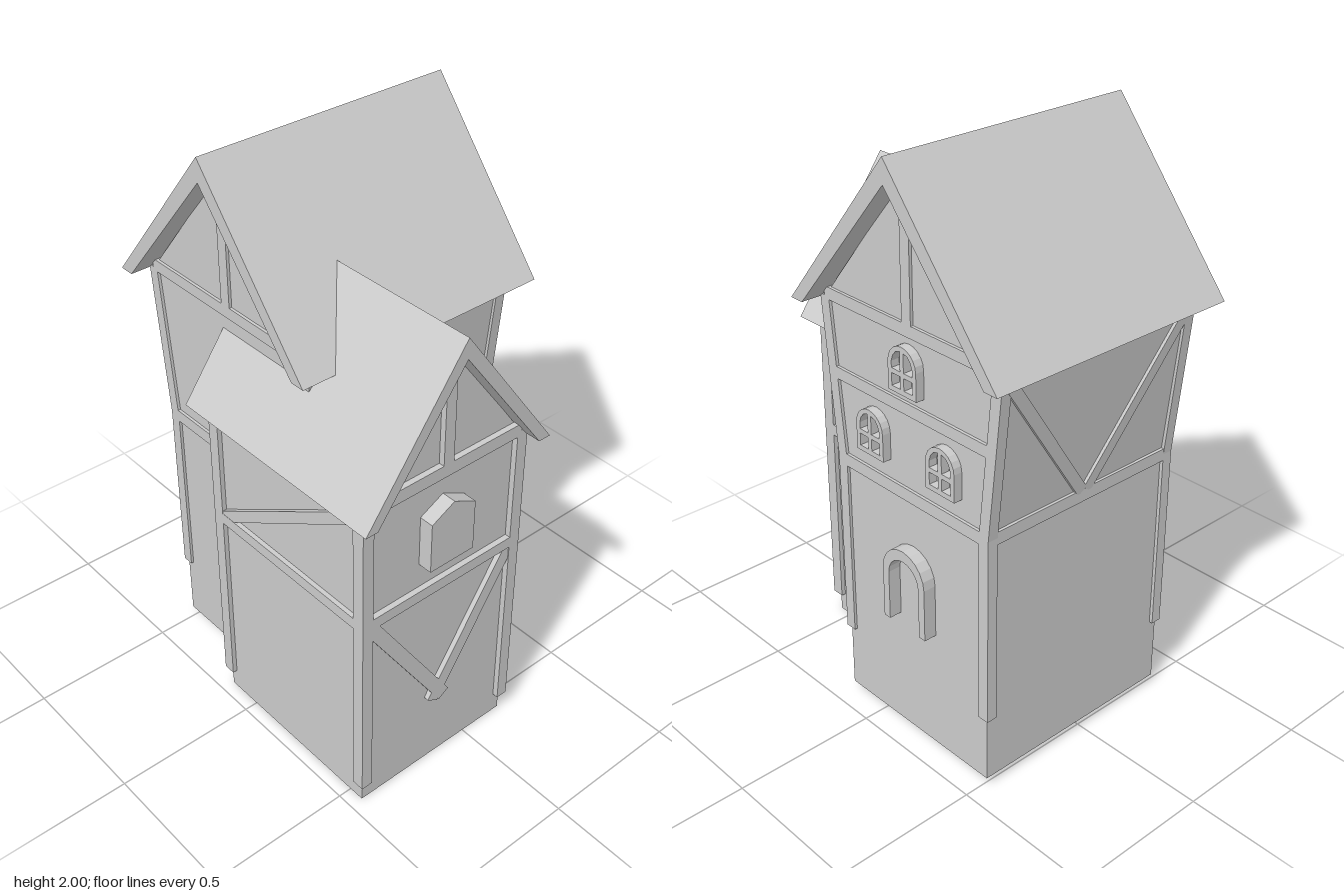
import * as THREE from 'three';

const material = new THREE.MeshStandardMaterial({ color: 0xcccccc, flatShading: true });

// Main house centre (x, z) and wing centre line (x)
const CX = 0.0375, CZ = -0.18, WX = -0.1425;

export function createModel() {
  const group = new THREE.Group();

  function add(name, geometry) {
    const mesh = new THREE.Mesh(geometry, material);
    mesh.name = name;
    group.add(mesh);
    return mesh;
  }
  const toShape = (pts) => new THREE.Shape(pts.map(([a, b]) => new THREE.Vector2(a, b)));
  const extrude = (shape, depth) =>
    new THREE.ExtrudeGeometry(shape, { depth, bevelEnabled: false, curveSegments: 5 });

  // Outline in (x, y), extruded from z0 to z1
  const alongZ = (name, pts, z0, z1) => add(name, extrude(toShape(pts), z1 - z0).translate(0, 0, z0));
  // Shape in (-z, y), extruded from x0 to x1
  const shapeAlongX = (name, shape, x0, x1) =>
    add(name, extrude(shape, x1 - x0).rotateY(Math.PI / 2).translate(x0, 0, 0));
  // Outline in (z, y), extruded from x0 to x1
  const alongX = (name, pts, x0, x1) =>
    shapeAlongX(name, toShape(pts.map(([z, y]) => [-z, y])), x0, x1);
  const box = (name, x0, x1, y0, y1, z0, z1) =>
    alongZ(name, [[x0, y0], [x1, y0], [x1, y1], [x0, y1]], z0, z1);
  // Four corners of a straight timber of the given width
  function timber(a, b, width) {
    const dx = b[0] - a[0], dy = b[1] - a[1], k = width / 2 / Math.hypot(dx, dy);
    const nx = -dy * k, ny = dx * k;
    return [[a[0] + nx, a[1] + ny], [a[0] - nx, a[1] - ny], [b[0] - nx, b[1] - ny], [b[0] + nx, b[1] + ny]];
  }
  // Gabled roof cross-section with a flat-cut eave
  const chevron = (c, eave, y, ridge, innerEave, innerRidge) => [
    [c - eave, y], [c, ridge], [c + eave, y], [c + innerEave, y], [c, innerRidge], [c - innerEave, y]];

  // Main house: upper storeys flare outward at front and back
  alongX('mainWalls', [
    [CZ + 0.333, 0.03], [CZ + 0.333, 0.92], [CZ + 0.39, 1.45], [CZ, 1.93],
    [CZ - 0.39, 1.45], [CZ - 0.333, 0.92], [CZ - 0.333, 0.03]], CX - 0.3875, CX + 0.3875);
  alongX('mainRoof', chevron(CZ, 0.4525, 1.45, 2, 0.4, 1.92), -0.43, 0.505);

  for (const sx of [-1, 1]) {
    const face = (a, b) => [CX + sx * a, CX + sx * b].sort((p, q) => p - q);
    const [x0, x1] = face(0.36, 0.3975);
    for (const sz of [-1, 1]) {
      alongX('mainCornerPost', [
        [0.345, 0.265], [0.345, 0.92], [0.4, 1.46], [0.36, 1.46], [0.305, 0.92], [0.305, 0.265],
      ].map(([z, y]) => [CZ + sz * z, y]), x0, x1);
    }
    box('gableBeam', x0, x1, 1.45, 1.49, CZ - 0.38, CZ + 0.38);
    box('floorBeam', x0, x1, 0.897, 0.94, CZ - 0.335, CZ + 0.335);
    if (sx > 0) box('middleBeam', x0, x1, 1.195, 1.235, CZ - 0.36, CZ + 0.36);
    box('gableKingPost', x0, x1, 1.48, 1.93, CZ - 0.02, CZ + 0.02);
  }

  // Back of the main house: floor beam and V bracing leaning with the wall
  box('backFloorBeam', CX - 0.37, CX + 0.37, 0.897, 0.94, -0.525, -0.49);
  for (const s of [-1, 1]) {
    const brace = alongZ('backBrace',
      timber([CX + s * 0.365, 1.435], [CX + s * 0.01, 0.935], 0.04), -0.524, -0.5);
    const p = brace.geometry.attributes.position;
    for (let i = 0; i < p.count; i++) p.setZ(i, p.getZ(i) - (p.getY(i) - 0.92) * 0.107);
    brace.geometry.computeVertexNormals();
  }

  // Arched windows with four open panes
  function archedWindow(z, y) {
    const r = 0.0625, spring = y + 0.0925, c = -z;
    const shape = new THREE.Shape();
    shape.moveTo(c - r, y);
    shape.lineTo(c + r, y);
    shape.absarc(c, spring, r, 0, Math.PI, false);
    shape.closePath();
    for (const s of [-1, 1]) {
      const hole = (pts) => shape.holes.push(
        new THREE.Path(pts.map(([a, b]) => new THREE.Vector2(c + s * a, y + b))));
      hole([[0.008, 0.017], [0.046, 0.017], [0.046, 0.058], [0.008, 0.058]]);
      hole([[0.008, 0.074], [0.046, 0.074], [0.046, 0.096], [0.039, 0.117], [0.026, 0.132], [0.008, 0.138]]);
    }
    shapeAlongX('archedWindow', shape, 0.42, 0.455);
  }
  archedWindow(CZ, 1.27);
  archedWindow(CZ + 0.16, 1.005);
  archedWindow(CZ - 0.16, 1.005);

  // Door surround
  const door = new THREE.Shape();
  door.moveTo(-CZ + 0.07, 0.455);
  door.lineTo(-CZ + 0.0975, 0.455);
  door.absarc(-CZ, 0.64, 0.0975, 0, Math.PI, false);
  door.lineTo(-CZ - 0.0975, 0.455);
  door.lineTo(-CZ - 0.07, 0.455);
  door.absarc(-CZ, 0.63, 0.07, Math.PI, 0, true);
  door.closePath();
  shapeAlongX('doorArch', door, 0.42, 0.47);

  // Front wing
  alongZ('wingWalls', [
    [WX - 0.31, 0], [WX + 0.31, 0], [WX + 0.31, 1.19], [WX, 1.62], [WX - 0.31, 1.19]], -0.13, 0.555);
  alongZ('wingRoof', chevron(WX, 0.3655, 1.18, 1.68, 0.32, 1.61), -0.21, 0.63);

  for (const s of [-1, 1]) {
    const [x0, x1] = [WX + s * 0.285, WX + s * 0.326].sort((p, q) => p - q);
    box('wingFrontPost', x0, x1, 0.075, 1.2, 0.53, 0.575);
    box('wingBackPost', x0, x1, 0.075, 1.2, -0.15, -0.107);
    box('wingSideBeam', x0, x1, 0.75, 0.79, -0.12, 0.54);
    alongX('wingSideBrace', timber([0.54, 1.175], [-0.11, 0.775], 0.04), x0 + 0.001, x1 - 0.001);
    alongZ('wingFrontBrace',
      timber([WX - s * 0.29, 0.755], [WX + s * 0.024, 0.272], 0.048), 0.54, 0.573 + s * 0.0005);
  }
  box('wingFrontBeam', WX - 0.29, WX + 0.29, 0.75, 0.79, 0.54, 0.575);
  box('wingGableBeam', WX - 0.3, WX + 0.3, 1.18, 1.225, 0.54, 0.575);
  box('wingKingPost', WX - 0.02, WX + 0.02, 1.22, 1.62, 0.54, 0.575);

  // Pointed window box on the wing front
  alongZ('pointedWindow', [
    [WX - 0.0875, 0.88], [WX + 0.0875, 0.88], [WX + 0.0875, 1.06], [WX, 1.105], [WX - 0.0875, 1.06]], 0.55, 0.605);

  return group;
}
